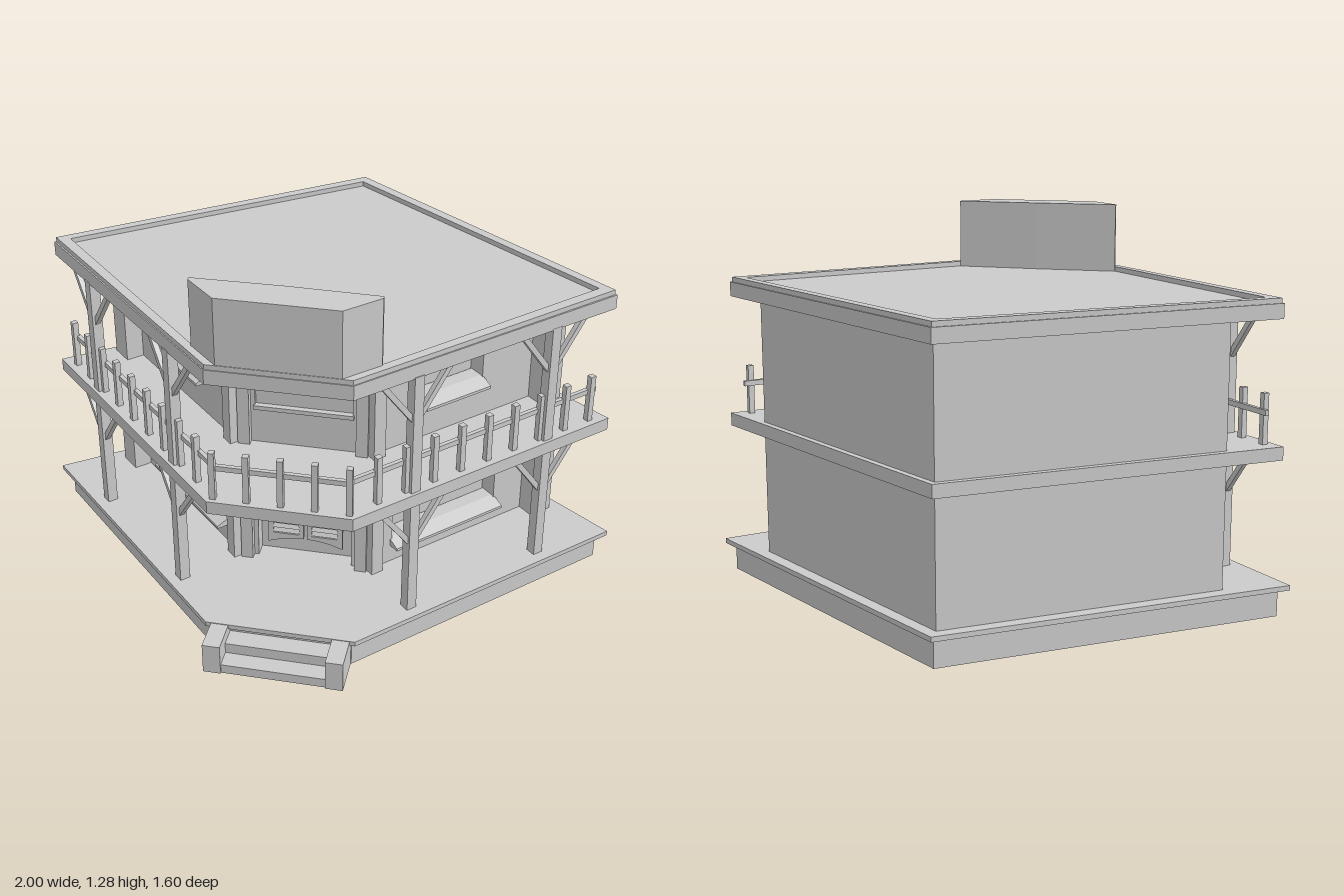
import * as THREE from 'three';

const grey = new THREE.MeshStandardMaterial({ color: 0xcccccc, flatShading: true, side: THREE.DoubleSide });

function add(parent, name, geo, x = 0, y = 0, z = 0) {
  const m = new THREE.Mesh(geo, grey);
  m.name = name;
  m.position.set(x, y, z);
  parent.add(m);
  return m;
}

// Box given by its limits
const block = (parent, name, x0, x1, y0, y1, z0, z1) => add(parent, name,
  new THREE.BoxGeometry(Math.abs(x1 - x0), y1 - y0, z1 - z0), (x0 + x1) / 2, (y0 + y1) / 2, (z0 + z1) / 2);

// Square beam between two points
function beam(parent, name, a, b, w) {
  const p = new THREE.Vector3(...a), q = new THREE.Vector3(...b);
  const m = add(parent, name, new THREE.BoxGeometry(w, p.distanceTo(q), w));
  m.position.copy(p).add(q).multiplyScalar(0.5);
  m.quaternion.setFromUnitVectors(new THREE.Vector3(0, 1, 0), q.sub(p).normalize());
}

// Symmetric plan outline from its right half, listed back to front as [x, z]
function outline(half) {
  const left = half.filter(p => p[0] > 0).reverse().map(([x, z]) => [-x, z]);
  return [...half, ...left].map(([x, z]) => new THREE.Vector2(x, -z));
}
const pentagon = (back, side, frontX, frontZ) => outline([[0, back], [side, -0.06], [frontX, frontZ]]);

// Plan outline raised from y0 to y1, optionally with a hole
function plate(parent, name, pts, y0, y1, hole) {
  const s = new THREE.Shape(pts);
  if (hole) s.holes.push(new THREE.Path(hole));
  const g = new THREE.ExtrudeGeometry(s, { depth: y1 - y0, bevelEnabled: false });
  add(parent, name, g.rotateX(-Math.PI / 2), 0, y0, 0);
}

function rectPath(Type, x0, x1, y0, y1) {
  return new Type().moveTo(x0, y0).lineTo(x1, y0).lineTo(x1, y1).lineTo(x0, y1).closePath();
}

// Wall panel with rectangular openings [x0, x1, y0, y1]; its outer face lies at z = 0
function wall(parent, name, half, depth, openings) {
  const s = rectPath(THREE.Shape, -half, half, 0.1, 1.0);
  for (const o of openings) s.holes.push(rectPath(THREE.Path, ...o));
  return add(parent, name, new THREE.ExtrudeGeometry(s, { depth, bevelEnabled: false }), 0, 0, -depth);
}

// Sloping window sill centred on x, its inner top edge at height y
function slopedSill(parent, x, half, y) {
  const s = new THREE.Shape([[-0.06, -0.025], [0.04, -0.025], [0.04, -0.015], [-0.01, 0.005], [-0.06, 0.005]]
    .map(p => new THREE.Vector2(...p)));
  const g = new THREE.ExtrudeGeometry(s, { depth: half * 2, bevelEnabled: false });
  add(parent, 'windowSill', g.rotateY(-Math.PI / 2), x + half, y, 0);
}

// Post with a pair of diagonal braces under the floor above
function bracedPost(parent, x, z, y0, y1) {
  block(parent, 'post', x - 0.018, x + 0.018, y0, y1, z - 0.018, z + 0.018);
  for (const s of [-1, 1])
    beam(parent, 'brace', [x, y1 - 0.17, z], [x + s * 0.13, y1 + 0.005, z], 0.018);
}

// Row of pickets from x0 to x1 joined by one rail that runs on to railEnd
function railing(parent, x0, x1, railEnd, z, count, first) {
  block(parent, 'handrail', x0, railEnd, 0.675, 0.693, z - 0.016, z - 0.002);
  for (let i = first; i < count; i++) {
    const x = x0 + (x1 - x0) * i / (count - 1);
    block(parent, 'picket', x - 0.01, x + 0.01, 0.57, 0.745, z - 0.01, z + 0.01);
  }
}

// One louvred swing door, its hinge edge on side s
function swingDoor(parent, s) {
  const a = s * 0.006, b = s * 0.128, mid = (a + b) / 2;
  const frame = new THREE.Shape();
  frame.moveTo(a, 0.19).quadraticCurveTo(mid, 0.19, b, 0.165).lineTo(b, 0.425);
  frame.lineTo(b - s * 0.012, 0.425).quadraticCurveTo(mid, 0.36, a, 0.36).closePath();
  frame.holes.push(rectPath(THREE.Path, s * 0.022, s * 0.11, 0.205, 0.35));
  add(parent, 'swingDoor', new THREE.ExtrudeGeometry(frame, { depth: 0.014, bevelEnabled: false, curveSegments: 8 }), 0, 0, 0.288);
  for (let i = 0; i < 8; i++) {
    const slat = add(parent, 'louvre', new THREE.BoxGeometry(0.092, 0.016, 0.006), s * 0.066, 0.214 + i * 0.018, 0.295);
    slat.rotation.x = -0.5;
  }
}

export function createModel() {
  const model = new THREE.Group();
  model.name = 'cornerSaloon';

  // Hollow base skirt, porch deck and upper floor
  plate(model, 'baseSkirt', pentagon(-0.777, 0.96, 0.23, 0.67), 0, 0.095, pentagon(-0.769, 0.95, 0.226, 0.662));
  plate(model, 'porchDeck', pentagon(-0.8, 1.0, 0.245, 0.69), 0.093, 0.11);
  plate(model, 'balconyFloor', pentagon(-0.775, 0.96, 0.23, 0.67), 0.53, 0.575);

  // Solid core with corner pilasters, set behind the wall panels
  plate(model, 'buildingCore', outline([[0, -0.75], [0.79, -0.16], [0.73, -0.10], [0.69, -0.14],
    [0.64, -0.19], [0.19, 0.26]]), 0.1, 1.0);

  // Roof with a stepped rim around a sunken surface
  const inner = pentagon(-0.72, 0.885, 0.215, 0.62);
  plate(model, 'roof', pentagon(-0.77, 0.945, 0.225, 0.655), 0.99, 1.04);
  plate(model, 'roofRim', pentagon(-0.763, 0.937, 0.223, 0.652), 1.04, 1.057, inner);
  plate(model, 'roofSign', outline([[0, 0.535], [0.29, 0.54], [0.29, 0.552], [0.19, 0.65]]), 1.04, 1.28);

  // Front steps between two cheeks
  for (const s of [-1, 1]) block(model, 'stepCheek', s * 0.17, s * 0.228, 0, 0.108, 0.665, 0.8);
  block(model, 'lowerStep', -0.17, 0.17, 0, 0.033, 0.665, 0.795);
  block(model, 'upperStep', -0.17, 0.17, 0, 0.07, 0.665, 0.735);

  // Front wall with doorway and upper window
  const front = wall(model, 'frontWall', 0.24, 0.05, [[-0.16, 0.16, 0.105, 0.44], [-0.16, 0.16, 0.715, 0.905]]);
  front.position.z = 0.26;
  block(model, 'upperWindowPane', -0.16, 0.16, 0.715, 0.905, 0.25, 0.298);
  block(model, 'frontSill', -0.165, 0.165, 0.7, 0.715, 0.27, 0.318);
  for (const s of [-1, 1]) {
    swingDoor(model, s);
    block(model, 'doorColumn', s * 0.175, s * 0.215, 0.1, 1.0, 0.29, 0.335);
  }
  railing(model, -0.215, 0.215, 0.215, 0.645, 5, 0);

  // Angled sides, mirrored; local +z faces outward, s points away from the front
  for (const s of [-1, 1]) {
    const side = new THREE.Group();
    side.name = s > 0 ? 'leftSide' : 'rightSide';
    side.position.set(s * 0.46, 0, 0.08);
    side.rotation.y = s * Math.PI / 4;
    model.add(side);

    const low = -0.025 * s, high = -0.015 * s;
    wall(side, 'sideWall', 0.318, 0.07, [[low - 0.218, low + 0.218, 0.2, 0.44], [high - 0.125, high + 0.125, 0.72, 0.925]]);
    slopedSill(side, low, 0.225, 0.2);
    slopedSill(side, high, 0.13, 0.72);

    // Column beside the front corner
    block(side, 'cornerColumn', s * -0.345, s * -0.3, 0.088, 1.0, -0.03, 0.03);
    for (const x of [0.198, -0.336])
      for (const [y0, y1] of [[0.088, 0.535], [0.57, 0.995]]) bracedPost(side, s * x, 0.226, y0, y1);
    railing(side, s * -0.573, s * 0.389, s * 0.415, 0.222, 10, 1);
  }
  return model;
}
